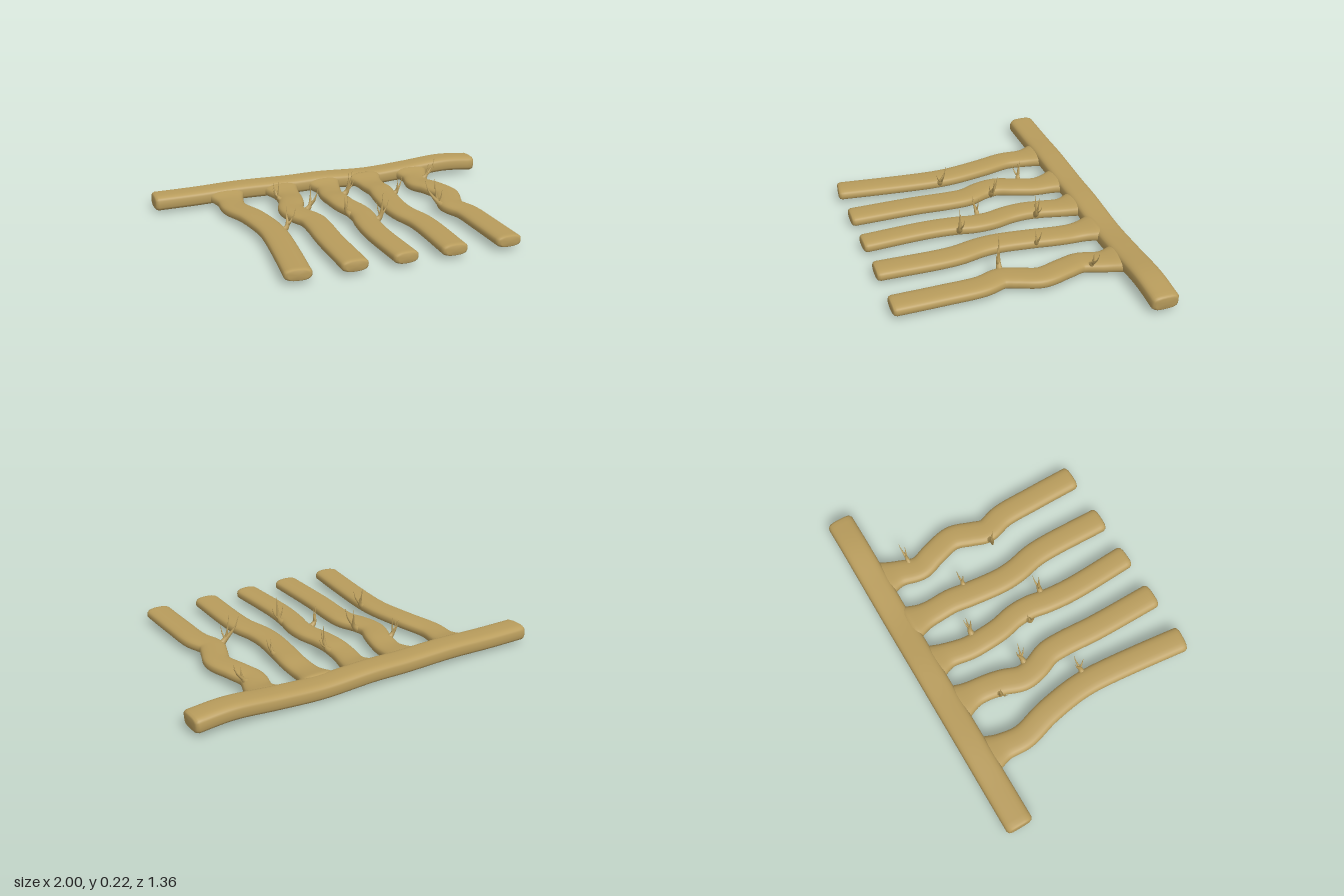
import * as THREE from 'three';

const V = (p) => new THREE.Vector3(...p);

// Sweeps a rounded-box section along a smooth curve, with bevelled, capped ends.
// size(t) gives [half width, half height]; ref is the direction kept "up".
function sweep(points, size, { ref = [0, 1, 0], steps = 48, sides = 24, power = 2.7, bevel = 0.018 } = {}) {
  const curve = new THREE.CatmullRomCurve3(points.map(V));
  const len = curve.getLength();
  const rings = [[0, 0], [0, 0.72], [bevel * 0.3 / len, 0.9]];
  for (let i = 0; i <= steps; i++) {
    const b = bevel / len;
    rings.push([b + (1 - 2 * b) * i / steps, 1]);
  }
  rings.push([1 - bevel * 0.3 / len, 0.9], [1, 0.72], [1, 0]);

  const pos = [], index = [], up = V(ref);
  const bend = (v) => Math.sign(v) * Math.abs(v) ** (2 / power);
  rings.forEach(([t, scale], i) => {
    const c = curve.getPointAt(t), T = curve.getTangentAt(t);
    const S = up.clone().cross(T).normalize();
    const U = T.clone().cross(S);
    const [w, h] = size(t);
    for (let k = 0; k < sides; k++) {
      const a = k / sides * Math.PI * 2;
      const p = c.clone()
        .addScaledVector(S, bend(Math.cos(a)) * w * scale)
        .addScaledVector(U, bend(Math.sin(a)) * h * scale);
      pos.push(p.x, p.y, p.z);
      if (i === rings.length - 1) continue;
      const n = (k + 1) % sides, q = i * sides, r = q + sides;
      index.push(q + k, q + n, r + k, q + n, r + n, r + k);
    }
  });
  const g = new THREE.BufferGeometry();
  g.setAttribute('position', new THREE.Float32BufferAttribute(pos, 3));
  g.setIndex(index);
  g.computeVertexNormals();
  return g;
}

// Centre line of the cross beam: [x, y]
const BEAM = [[-1, 0.057], [-0.75, 0.058], [-0.5, 0.064], [-0.2, 0.058], [0, 0.059],
  [0.3, 0.046], [0.55, 0.058], [0.8, 0.074], [1, 0.058]];

// Centre lines of the five branches: [x, z], running from the beam to the front
const BRANCHES = [
  [[-0.59, -0.57], [-0.592, -0.47], [-0.6, -0.35], [-0.555, -0.18], [-0.525, 0], [-0.52, 0.1], [-0.525, 0.2], [-0.545, 0.4], [-0.578, 0.675]],
  [[-0.265, -0.57], [-0.262, -0.42], [-0.285, -0.3], [-0.322, -0.19], [-0.31, -0.1], [-0.272, 0], [-0.268, 0.1], [-0.28, 0.3], [-0.283, 0.675]],
  [[0, -0.57], [-0.002, -0.47], [-0.024, -0.35], [-0.026, -0.25], [-0.018, -0.15], [0.004, -0.05], [0.007, 0.05], [-0.01, 0.15], [-0.022, 0.3], [-0.01, 0.675]],
  [[0.26, -0.57], [0.26, -0.42], [0.26, -0.3], [0.245, -0.2], [0.225, 0], [0.232, 0.1], [0.262, 0.25], [0.257, 0.675]],
  [[0.565, -0.57], [0.555, -0.47], [0.525, -0.35], [0.555, -0.25], [0.588, -0.11], [0.553, 0], [0.528, 0.08], [0.56, 0.2], [0.565, 0.4], [0.565, 0.675]],
];

// Twigs: foot [x, z] on a branch's edge, side it grows from, and its tips [x, y, z]
const TWIGS = [
  [[-0.455, 0.1], 1, [[-0.435, 0.18, 0.07], [-0.39, 0.17, 0.09], [-0.42, 0.14, 0.13]]],
  [[-0.335, -0.34], -1, [[-0.37, 0.165, -0.36], [-0.345, 0.175, -0.34], [-0.385, 0.14, -0.32]]],
  [[-0.245, -0.14], 1, [[-0.215, 0.185, -0.165], [-0.18, 0.19, -0.135], [-0.2, 0.15, -0.11]]],
  [[-0.06, 0.01], -1, [[-0.09, 0.17, 0.025], [-0.06, 0.165, 0]]],
  [[0.04, -0.3], 1, [[0.06, 0.2, -0.285], [0.085, 0.195, -0.3], [0.1, 0.14, -0.31]]],
  [[0.055, 0.15], 1, [[0.08, 0.212, 0.155], [0.12, 0.165, 0.14], [0.05, 0.16, 0.14]]],
  [[0.305, -0.195], 1, [[0.32, 0.155, -0.185], [0.355, 0.165, -0.205]]],
  [[0.465, 0.07], -1, [[0.38, 0.21, 0.045], [0.43, 0.222, 0.06], [0.465, 0.16, 0.09]]],
  [[0.585, -0.39], 1, [[0.61, 0.15, -0.39], [0.655, 0.175, -0.4], [0.64, 0.14, -0.375]]],
];

export function createModel() {
  const model = new THREE.Group();
  const wood = new THREE.MeshStandardMaterial({ color: 0xb89c5c, roughness: 0.9 });
  const add = (name, geometry, parent = model) => {
    const mesh = new THREE.Mesh(geometry, wood);
    mesh.name = name;
    parent.add(mesh);
  };

  // Wavy beam across the back
  add('crossBeam', sweep(BEAM.map(([x, y]) => [x, y, -0.607]), () => [0.075, 0.044], { steps: 72, power: 3.2 }));

  // Flattened branches, flaring where they grow out of the beam
  BRANCHES.forEach((line, i) => {
    const points = line.map(([x, z]) => [x, z < -0.5 ? 0.056 : z < -0.3 ? 0.046 : 0.053, z]);
    const width = i === 2 ? 0.067 : 0.071;
    add('branch' + (i + 1), sweep(points, (t) => {
      const flare = Math.exp(-((t / 0.06) ** 2));
      return [width + 0.035 * flare, 0.032 + 0.006 * flare];
    }, { steps: 80 }));
  });

  // Small forked twigs, thick at the foot and tapering to points
  TWIGS.forEach(([[x, z], side, tips], i) => {
    const twig = new THREE.Group();
    twig.name = 'twig' + (i + 1);
    model.add(twig);
    const foot = [x - side * 0.02, 0.05, z];
    const knee = [x + side * 0.012, 0.08, z];
    tips.forEach((tip, n) => {
      const mid = [0, 1, 2].map((a) => knee[a] * 0.5 + tip[a] * 0.5);
      mid[0] += (tip[0] - knee[0]) * 0.2;
      mid[2] += (tip[2] - knee[2]) * 0.2;
      const base = n ? 0.014 : 0.021;
      add('sprig' + (n + 1), sweep([foot, knee, mid, tip], (t) => {
        const r = 0.0012 + base * (1 - t) ** 1.7;
        return [r, r];
      }, { ref: [0, 0, 1], steps: 16, sides: 8, power: 2, bevel: 0.002 }), twig);
    });
  });
  return model;
}
